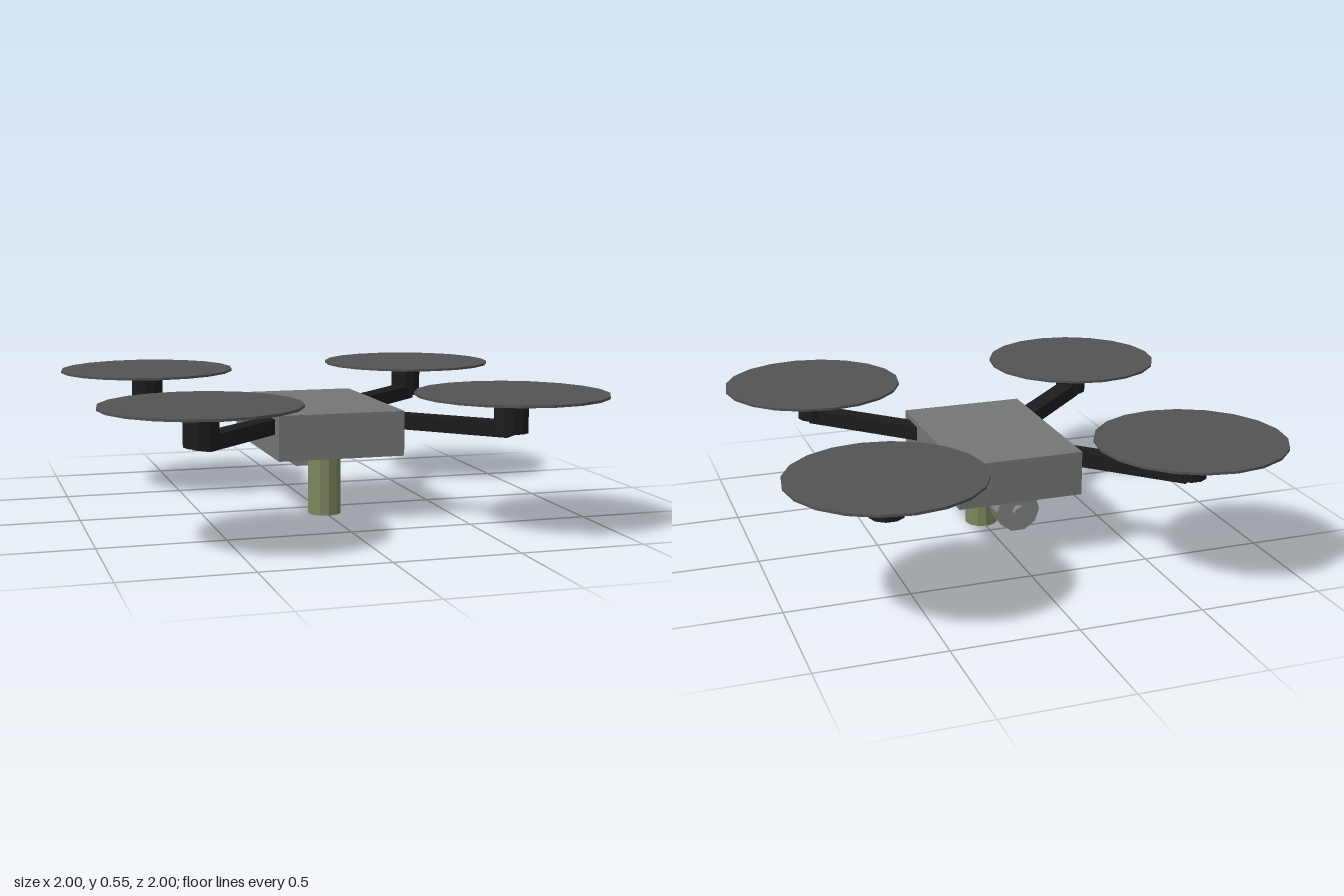
import * as THREE from 'three';

const material = (name, color) => {
  const m = new THREE.MeshStandardMaterial({ color, flatShading: true });
  m.name = name;
  return m;
};

// Upright cylinder with corners on the x axis
const cylinder = (radius, height, sides) =>
  new THREE.CylinderGeometry(radius, radius, height, sides).rotateY(Math.PI / 2);

export function createModel() {
  const grey = material('bodyGrey', 0x747773);
  const podGrey = material('podGrey', 0x808380);
  const black = material('frameBlack', 0x1c1c1c);
  const rotorGrey = material('rotorGrey', 0x535353);
  const olive = material('canisterOlive', 0x7d8760);

  const model = new THREE.Group();
  model.name = 'quadcopter';

  const add = (parent, name, geometry, mat, x, y, z) => {
    const mesh = new THREE.Mesh(geometry, mat);
    mesh.name = name;
    mesh.position.set(x, y, z);
    parent.add(mesh);
    return mesh;
  };

  // Central hull
  add(model, 'body', new THREE.BoxGeometry(0.52, 0.182, 0.756), grey, 0, 0.362, 0);

  // Four diagonal arms, each with a motor and a rotor disc
  const reach = 0.617;
  const armLength = reach * Math.SQRT2;
  const armGeometry = new THREE.BoxGeometry(armLength, 0.06, 0.08);
  const motorGeometry = cylinder(0.069, 0.14, 10);
  const rotorGeometry = cylinder(0.382, 0.01, 20);
  for (const sx of [-1, 1]) {
    for (const sz of [-1, 1]) {
      const unit = new THREE.Group();
      unit.name = (sz > 0 ? 'front' : 'rear') + (sx > 0 ? 'Left' : 'Right') + 'RotorUnit';
      const x = sx * reach, z = sz * reach;
      const arm = add(unit, 'arm', armGeometry, black, x / 2, 0.4, z / 2);
      arm.rotation.y = Math.atan2(-z, x);
      add(unit, 'motor', motorGeometry, black, x, 0.457, z);
      add(unit, 'rotorDisc', rotorGeometry, rotorGrey, x, 0.54, z);
      model.add(unit);
    }
  }

  // Canister hanging under the front of the hull
  add(model, 'canister', cylinder(0.07, 0.262, 12), olive, 0, 0.131, 0.12);

  // Rear sensor pod and its small lens, facing backwards
  add(model, 'sensorPod', cylinder(0.09, 0.115, 10).rotateX(Math.PI / 2), podGrey, 0, 0.222, -0.287);
  add(model, 'sensorLens', cylinder(0.025, 0.04, 10).rotateX(Math.PI / 2), podGrey, 0, 0.222, -0.352);

  return model;
}
